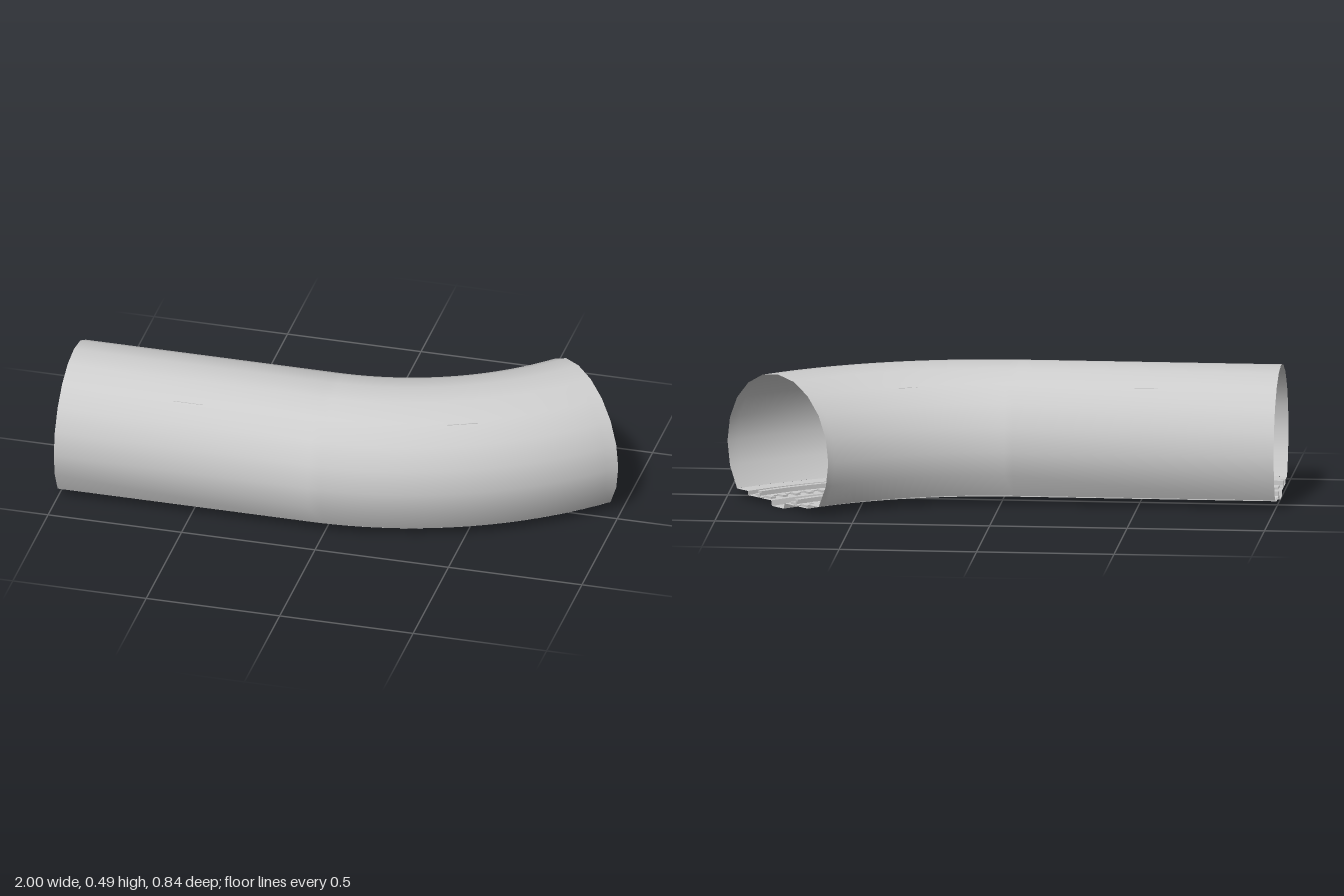
import * as THREE from 'three';
import { toCreasedNormals } from 'three/addons/utils/BufferGeometryUtils.js';

const START = -1, BEND_X = -0.05, MID_Z = 0.133, BEND_R = 1.198, BEND = Math.PI / 4;
const STRAIGHT = BEND_X - START, LENGTH = STRAIGHT + BEND_R * BEND;
const RADIUS = 0.2865, AXIS_Y = 0.2035;

const material = new THREE.MeshStandardMaterial({ color: 0xcccccc, side: THREE.DoubleSide });

// Point on the route: distance s along it, sideways offset and height
const angleAt = s => Math.max(0, s - STRAIGHT) / BEND_R;
function place(s, off, y) {
  const a = angleAt(s), r = BEND_R + off;
  return new THREE.Vector3(
    Math.min(START + s, BEND_X) + r * Math.sin(a), y, MID_Z - BEND_R + r * Math.cos(a));
}

// Stations: one straight piece, then even steps round the bend
const stations = [0];
const STEPS = 24;
for (let i = 0; i <= STEPS; i++) stations.push(STRAIGHT + (LENGTH - STRAIGHT) * i / STEPS);

// Sweep a cross-section of [offset, y] points along the route
function sweep(profile, closed = false) {
  const n = profile.length, pos = [], index = [];
  for (const s of stations) for (const [o, y] of profile) pos.push(...place(s, o, y).toArray());
  for (let i = 0; i < stations.length - 1; i++) {
    for (let j = 0; j < (closed ? n : n - 1); j++) {
      const k = (j + 1) % n, a = i * n + j, b = i * n + k;
      index.push(a, a + n, b, b, a + n, b + n);
    }
  }
  if (closed) {
    const last = (stations.length - 1) * n;
    const caps = THREE.ShapeUtils.triangulateShape(profile.map(p => new THREE.Vector2(...p)), []);
    for (const [a, b, c] of caps) index.push(a, c, b, last + a, last + b, last + c);
  }
  const g = new THREE.BufferGeometry();
  g.setAttribute('position', new THREE.Float32BufferAttribute(pos, 3));
  g.setIndex(index);
  g.computeVertexNormals();
  return g;
}

export function createModel() {
  const group = new THREE.Group();
  const add = (name, geometry, parent = group) => {
    const mesh = new THREE.Mesh(geometry, material);
    mesh.name = name;
    parent.add(mesh);
    return mesh;
  };
  // Box aligned with the route
  const addBox = (name, geometry, s, off, y, parent) => {
    const mesh = add(name, geometry, parent);
    mesh.position.copy(place(s, off, y));
    mesh.rotation.y = angleAt(s);
  };

  // Tunnel lining: part of a twenty-sided ring, open at the floor
  const ring = [];
  for (let d = -36; d <= 216; d += 18) {
    const a = THREE.MathUtils.degToRad(d);
    ring.push([RADIUS * Math.cos(a), AXIS_Y + RADIUS * Math.sin(a)]);
  }
  add('tunnelLining', sweep(ring));

  // Stepped floor with side ledges, track bed and central drain
  const half = [[0.232, 0.035], [0.17, 0.035], [0.17, 0.02], [0.038, 0.02], [0.034, 0]];
  const floor = [...half.map(([o, y]) => [-o, y]), ...half.slice().reverse()];
  add('trackBed', toCreasedNormals(sweep(floor), 0.5));

  // Rails with foot, web and head
  const railHalf = [[0.011, 0.02], [0.011, 0.024], [0.003, 0.027], [0.003, 0.037], [0.01, 0.038], [0.01, 0.045]];
  const rail = [...railHalf, ...railHalf.slice().reverse().map(([o, y]) => [-o, y])];
  for (const side of [-1, 1]) {
    const section = rail.map(([o, y]) => [o + side * 0.104, y]);
    add(side > 0 ? 'outerRail' : 'innerRail', toCreasedNormals(sweep(section, true), 0.5));
  }

  // Short sleeper blocks under both rails
  const sleepers = new THREE.Group();
  sleepers.name = 'sleepers';
  group.add(sleepers);
  const block = new THREE.BoxGeometry(0.022, 0.008, 0.09);
  const count = 36;
  for (let i = 0; i < count; i++) {
    for (const side of [-1, 1]) {
      addBox('sleeperBlock', block, LENGTH * (i + 0.5) / count, side * 0.104, 0.0235, sleepers);
    }
  }

  // Lamps high on both walls, midway along the straight and the bend
  const lamp = new THREE.BoxGeometry(0.11, 0.016, 0.018);
  for (const s of [STRAIGHT / 2, (STRAIGHT + LENGTH) / 2]) {
    for (const side of [-1, 1]) addBox('lamp', lamp, s, side * 0.166, 0.422);
  }
  return group;
}
